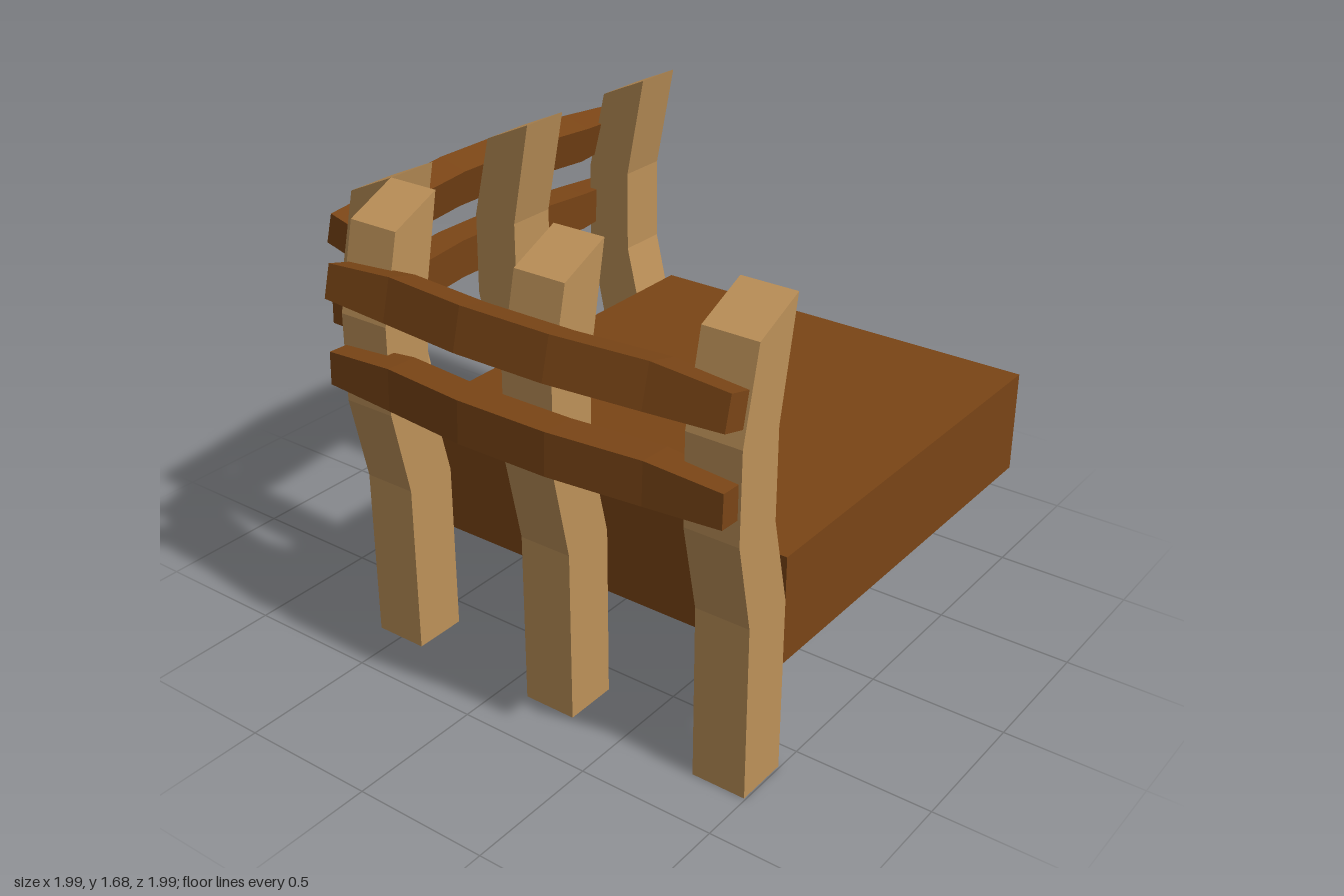
import * as THREE from 'three';

const darkWood = new THREE.MeshStandardMaterial({ color: 0x7a4516, flatShading: true });
const lightWood = new THREE.MeshStandardMaterial({ color: 0xbd9159, flatShading: true });
const CENTRE = 0.197; // offset of the platform from the origin

function addMesh(parent, name, geometry, material) {
  const mesh = new THREE.Mesh(geometry, material);
  mesh.name = name;
  parent.add(mesh);
  return mesh;
}

// Bowed post: side profile (outward, up) extruded across its width
function postGeometry() {
  const profile = [
    [0.6, 0], [0.8, 0], [0.8, 0.64], [0.868, 0.96], [0.865, 1.28],
    [0.792, 1.59], [0.598, 1.677], [0.676, 1.28], [0.676, 0.96], [0.6, 0.64],
  ];
  const shape = new THREE.Shape(profile.map(([z, y]) => new THREE.Vector2(z, y)));
  return new THREE.ExtrudeGeometry(shape, { depth: 0.2, bevelEnabled: false })
    .translate(0, 0, -0.1)
    .rotateY(-Math.PI / 2);
}

// Bent rail: tilted rectangular sections, thinner at the ends
function railGeometry(y, zOffset, tilt) {
  const half = [[0.175, 0.92, 0.125, 0.15, 0], [0.51, 0.88, 0.123, 0.15, -0.006], [0.787, 0.8825, 0.095, 0.118, -0.01]];
  const stations = [
    ...half.map(([x, ...rest]) => [-x, ...rest]).reverse(),
    ...half,
  ];
  const positions = [];
  const index = [0, 1, 2, 0, 2, 3];
  const c = Math.cos(tilt), s = Math.sin(tilt);
  stations.forEach(([x, z, depth, height, drop], i) => {
    [[1, -1], [1, 1], [-1, 1], [-1, -1]].forEach(([u, v], k) => {
      const dz = u * depth / 2, dy = v * height / 2;
      positions.push(x, y + drop + dy * c + dz * s, z + zOffset + dz * c - dy * s);
      if (i < stations.length - 1) {
        const a = i * 4 + k, d = i * 4 + (k + 1) % 4;
        index.push(a, a + 4, d + 4, a, d + 4, d);
      }
    });
  });
  const e = (stations.length - 1) * 4;
  index.push(e, e + 2, e + 1, e, e + 3, e + 2);
  const indexed = new THREE.BufferGeometry();
  indexed.setAttribute('position', new THREE.Float32BufferAttribute(positions, 3));
  indexed.setIndex(index);
  const geometry = indexed.toNonIndexed();
  geometry.computeVertexNormals();
  return geometry;
}

// One railing: three posts and two rails, facing +z
function createRailing(name) {
  const railing = new THREE.Group();
  railing.name = name;
  const post = postGeometry();
  for (const x of [-0.697, 0, 0.697]) {
    addMesh(railing, 'post', post, lightWood).position.x = x;
  }
  addMesh(railing, 'upperRail', railGeometry(1.417, 0, 0.26), darkWood);
  addMesh(railing, 'lowerRail', railGeometry(1.12, 0.014, 0.04), darkWood);
  return railing;
}

export function createModel() {
  const model = new THREE.Group();
  model.name = 'cornerBalcony';

  // Square platform
  addMesh(model, 'platform', new THREE.BoxGeometry(1.592, 0.392, 1.592), darkWood)
    .position.set(CENTRE, 0.599, -CENTRE);

  // Railings along the front and the right side
  const front = createRailing('frontRailing');
  front.position.x = CENTRE;
  const right = createRailing('rightRailing');
  right.rotation.y = -Math.PI / 2;
  right.position.z = -CENTRE;
  model.add(front, right);

  return model;
}
